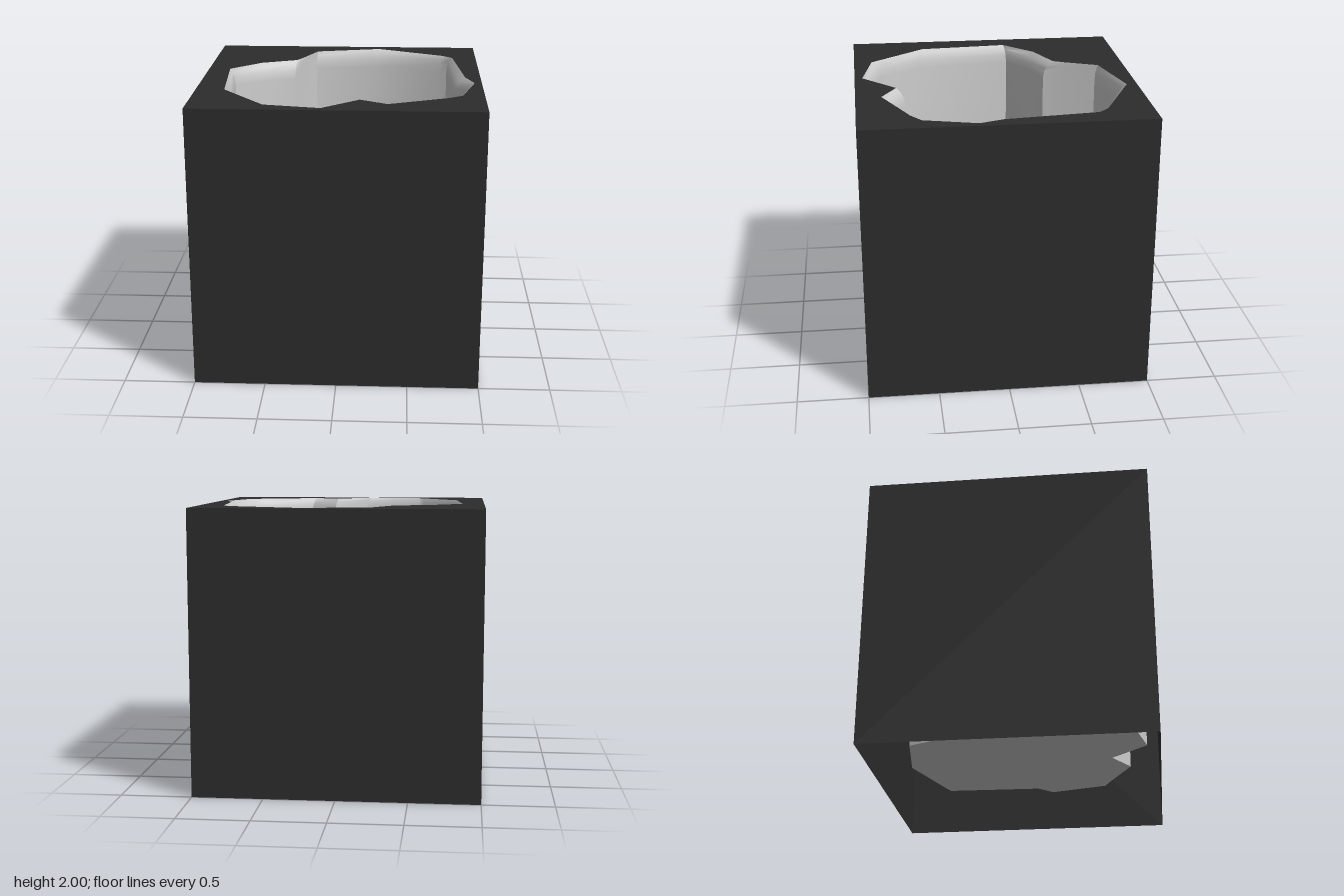
import * as THREE from 'three';
import { toCreasedNormals } from 'three/addons/utils/BufferGeometryUtils.js';

// Irregular pit outline as [x, z] at the rim and, point for point, just below the flared lip
const RIM = [[0.82, -0.62], [0.89, 0.03], [0.95, 0.2], [0.85, 0.57], [0.75, 0.64], [0.34, 0.82],
  [0.15, 0.71], [-0.1, 0.945], [-0.49, 0.87], [-0.53, 0.82], [-0.8, 0.47], [-0.845, -0.17],
  [-0.63, -0.38], [-0.37, -0.49], [-0.33, -0.57], [-0.23, -0.81], [0.25, -0.925], [0.75, -0.69]];
const INNER = [[0.78, -0.655], [0.8, 0.04], [0.9, 0.15], [0.79, 0.57], [0.7, 0.61], [0.37, 0.78],
  [0.17, 0.65], [-0.06, 0.91], [-0.49, 0.81], [-0.53, 0.77], [-0.74, 0.52], [-0.81, -0.19],
  [-0.57, -0.35], [-0.38, -0.42], [-0.34, -0.55], [-0.24, -0.79], [0.22, -0.86], [0.72, -0.68]];
const FLOOR_Y = 0.27;

// Outline points for a shape that is later laid flat facing up
const flat = (pts) => pts.map(([x, z]) => new THREE.Vector2(x, -z));

function addMesh(parent, name, geometry, material) {
  const mesh = new THREE.Mesh(geometry, material);
  mesh.name = name;
  parent.add(mesh);
  return mesh;
}

// Skin between stacked rings: the lip curves in, then the wall drops straight down
function pitWallGeometry() {
  const levels = [[2, 0], [1.97, 0.5], [1.93, 0.85], [1.87, 1], [FLOOR_Y, 1]];
  const n = RIM.length;
  const positions = [];
  const indices = [];
  levels.forEach(([y, t], r) => {
    for (let i = 0; i < n; i++) {
      positions.push(
        THREE.MathUtils.lerp(RIM[i][0], INNER[i][0], t), y,
        THREE.MathUtils.lerp(RIM[i][1], INNER[i][1], t));
      if (r === 0) continue;
      const j = (i + 1) % n;
      const a = (r - 1) * n + i, b = r * n + i, c = r * n + j, d = (r - 1) * n + j;
      indices.push(a, b, d, b, c, d);
    }
  });
  const geometry = new THREE.BufferGeometry();
  geometry.setAttribute('position', new THREE.Float32BufferAttribute(positions, 3));
  geometry.setIndex(indices);
  return toCreasedNormals(geometry, 0.87);
}

export function createModel() {
  const model = new THREE.Group();
  const dark = new THREE.MeshStandardMaterial({ color: 0x2c2c2c, side: THREE.DoubleSide });
  const grey = new THREE.MeshStandardMaterial({ color: 0xcccccc, side: THREE.DoubleSide });

  // Hollow box, open underneath
  const box = new THREE.Group();
  box.name = 'box';
  model.add(box);
  ['frontSide', 'leftSide', 'backSide', 'rightSide'].forEach((name, i) => {
    const side = new THREE.PlaneGeometry(2, 2).translate(0, 1, 1).rotateY(i * Math.PI / 2);
    addMesh(box, name, side, dark);
  });

  // Top sheet with the pit opening cut out
  const top = new THREE.Shape(flat([[-1, 1], [1, 1], [1, -1], [-1, -1]]));
  top.holes.push(new THREE.Path(flat(RIM)));
  addMesh(box, 'topSheet', new THREE.ShapeGeometry(top).rotateX(-Math.PI / 2).translate(0, 2, 0), dark);

  // Pit hanging inside the box
  const pit = new THREE.Group();
  pit.name = 'pit';
  model.add(pit);
  addMesh(pit, 'pitWall', pitWallGeometry(), grey);
  const floor = new THREE.ShapeGeometry(new THREE.Shape(flat(INNER)));
  addMesh(pit, 'pitFloor', floor.rotateX(-Math.PI / 2).translate(0, FLOOR_Y, 0), grey);

  return model;
}
